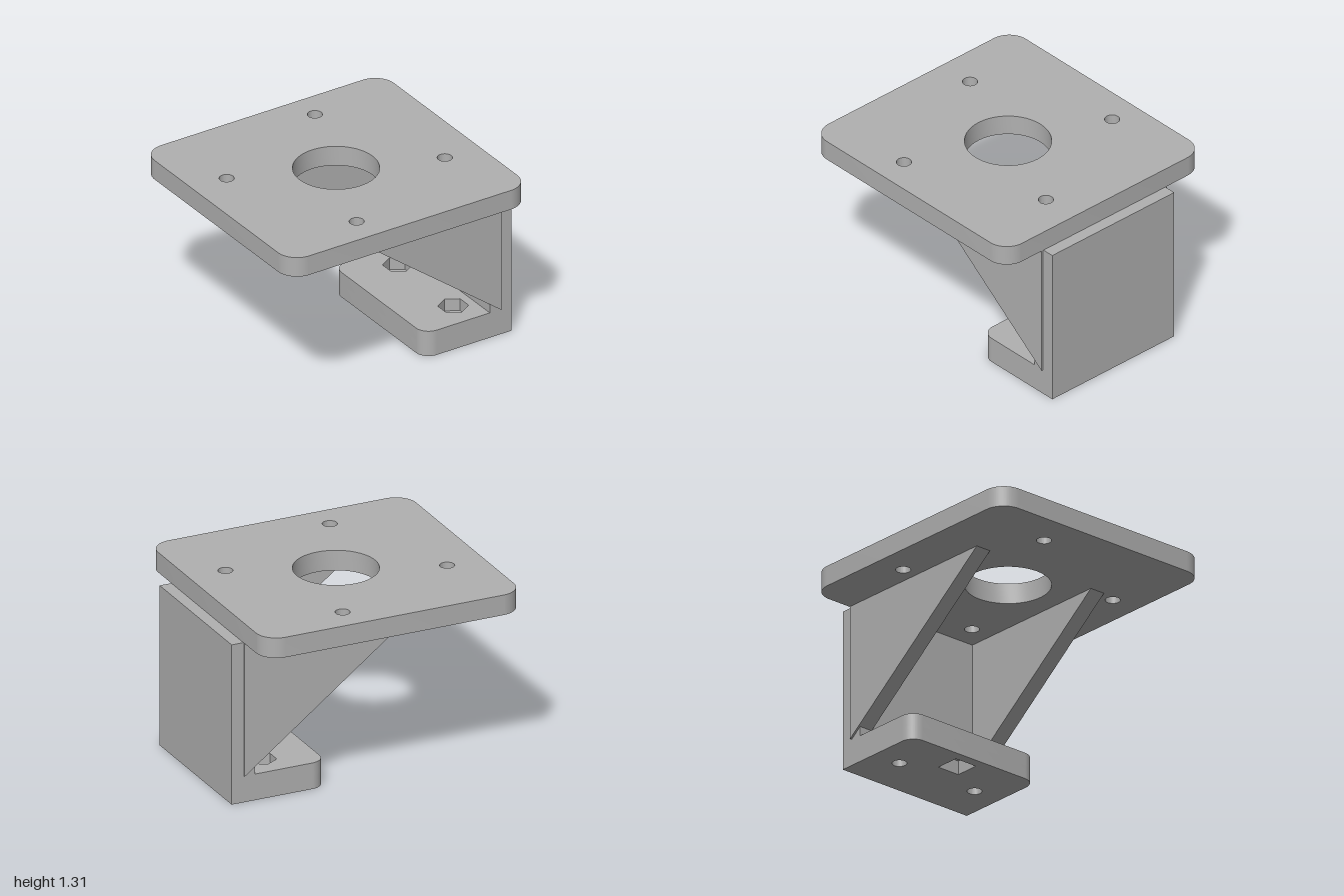
import * as THREE from 'three';
import { toCreasedNormals } from 'three/addons/utils/BufferGeometryUtils.js';

// Rectangle in plan (x, z) with separate corner radii at the -x and +x ends
function plan(x0, x1, halfZ, rLeft, rRight) {
  const s = new THREE.Shape();
  const corner = (cx, cz, r, a) => {
    if (r > 0) s.absarc(cx, cz, r, a, a + Math.PI / 2, false);
    else s.lineTo(cx, cz);
  };
  s.moveTo(x0 + rLeft, -halfZ);
  corner(x1 - rRight, -halfZ + rRight, rRight, -Math.PI / 2);
  corner(x1 - rRight, halfZ - rRight, rRight, 0);
  corner(x0 + rLeft, halfZ - rLeft, rLeft, Math.PI / 2);
  corner(x0 + rLeft, -halfZ + rLeft, rLeft, Math.PI);
  return s;
}

function roundHole(x, z, r) {
  return new THREE.Path().absarc(x, z, r, 0, Math.PI * 2, true);
}

// Regular polygon hole; first corner at angle a
function polygonHole(x, z, r, sides, a) {
  const pts = [];
  for (let i = 0; i < sides; i++) {
    const t = a - (i * Math.PI * 2) / sides;
    pts.push(new THREE.Vector2(x + r * Math.cos(t), z + r * Math.sin(t)));
  }
  return new THREE.Path(pts);
}

// Horizontal slab between two heights
function slab(shape, y0, y1) {
  const g = new THREE.ExtrudeGeometry(shape, { depth: y1 - y0, bevelEnabled: false, curveSegments: 24 });
  g.rotateX(Math.PI / 2);
  g.translate(0, y1, 0);
  return toCreasedNormals(g, 0.5);
}

export function createModel() {
  const group = new THREE.Group();
  const grey = new THREE.MeshStandardMaterial({ color: 0xb0b0b0 });
  grey.name = 'grey';
  const add = (name, geometry) => {
    const mesh = new THREE.Mesh(geometry, grey);
    mesh.name = name;
    group.add(mesh);
    return mesh;
  };

  // Top plate with a large bore and four bolt holes around it
  const top = plan(-1, 0.915, 0.9, 0.15, 0.15);
  top.holes.push(roundHole(-0.042, 0, 0.292));
  for (const [x, z] of [[0.24, -0.685], [-0.73, -0.285], [0.642, 0.283], [-0.327, 0.683]]) {
    top.holes.push(roundHole(x, z, 0.051));
  }
  add('topPlate', slab(top, 1.167, 1.313));

  // Upright wall
  const wall = new THREE.BoxGeometry(0.175, 1.165, 1.105);
  wall.translate(0.9125, 0.5825, 0);
  add('wall', wall);

  // Foot: lower layer has screw holes and a blind square pocket, upper layer has nut traps
  const footX = 0.675, footZ = 0.335, split = 0.1;
  const lower = plan(0.3, 0.83, 0.5525, 0.1, 0);
  const upper = plan(0.3, 0.83, 0.5525, 0.1, 0);
  for (const side of [-1, 1]) {
    lower.holes.push(roundHole(footX, side * footZ, 0.05));
    upper.holes.push(polygonHole(footX, side * footZ, 0.104, 6, Math.PI / 2));
  }
  lower.holes.push(polygonHole(0.46, -0.01, 0.125, 4, Math.PI / 4));
  add('footBase', slab(lower, 0, split));
  add('footTop', slab(upper, split, 0.19));

  // Triangular gussets on both sides
  const triangle = new THREE.Shape([
    new THREE.Vector2(-0.37, 1.167),
    new THREE.Vector2(0.91, 0.192),
    new THREE.Vector2(0.91, 1.167),
  ]);
  const thickness = 0.117;
  for (const [name, z] of [['frontGusset', 0.567 - thickness], ['backGusset', -0.567]]) {
    const g = new THREE.ExtrudeGeometry(triangle, { depth: thickness, bevelEnabled: false });
    g.translate(0, 0, z);
    add(name, g);
  }

  return group;
}
